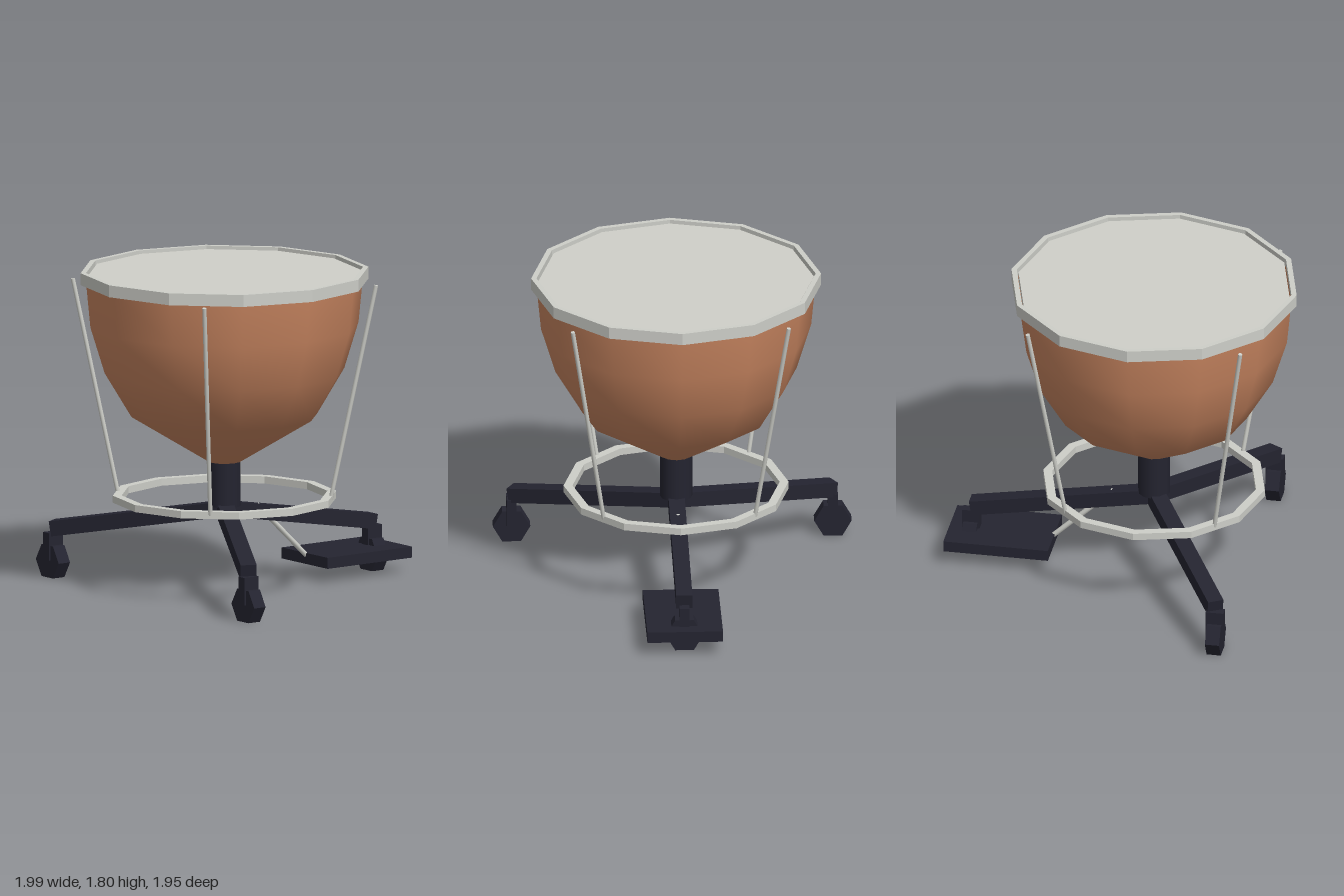
import * as THREE from 'three';
import { toCreasedNormals } from 'three/addons/utils/BufferGeometryUtils.js';

const AXIS_Z = 0.17; // the drum stands a little forward of the centre

function material(name, color, side = THREE.FrontSide) {
  const m = new THREE.MeshStandardMaterial({ color, side });
  m.name = name;
  return m;
}

const faceted = (geometry) => toCreasedNormals(geometry, 0.3);

function add(parent, name, geometry, mat, x = 0, y = 0, z = 0) {
  const mesh = new THREE.Mesh(geometry, mat);
  mesh.name = name;
  mesh.position.set(x, y, z);
  parent.add(mesh);
  return mesh;
}

// Twelve-sided flat band of rectangular section
function band(inner, outer, y0, y1) {
  const profile = [[inner, y0], [outer, y0], [outer, y1], [inner, y1], [inner, y0]];
  return faceted(new THREE.LatheGeometry(profile.map(([r, y]) => new THREE.Vector2(r, y)), 12));
}

// Straight round rod between two points
function rod(parent, name, from, to, radius, mat) {
  const dir = to.clone().sub(from);
  const mesh = add(parent, name, new THREE.CylinderGeometry(radius, radius, dir.length(), 8), mat);
  mesh.position.copy(from).add(to).multiplyScalar(0.5);
  mesh.quaternion.setFromUnitVectors(new THREE.Vector3(0, 1, 0), dir.normalize());
}

export function createModel() {
  const copper = material('copper', 0xc88560, THREE.DoubleSide);
  const metal = material('light metal', 0xcdcec8);
  const skin = material('drum skin', 0xd0d0c9);
  const dark = material('dark metal', 0x242430);

  const model = new THREE.Group();
  model.name = 'kettledrum';
  const drum = new THREE.Group();
  drum.name = 'drum';
  drum.position.z = AXIS_Z;
  model.add(drum);

  // Bowl, head and rim
  const bowl = [[0.09, 0.72], [0.52, 0.98], [0.67, 1.23], [0.75, 1.49], [0.775, 1.75]];
  add(drum, 'bowl', new THREE.LatheGeometry(bowl.map(([r, y]) => new THREE.Vector2(r, y)), 12), copper);
  add(drum, 'head', faceted(new THREE.CylinderGeometry(0.765, 0.765, 0.045, 12)), skin, 0, 1.757, 0);
  add(drum, 'rim', band(0.775, 0.805, 1.73, 1.797), metal);

  // Stem and lower ring
  add(drum, 'stem', new THREE.CylinderGeometry(0.09, 0.09, 0.27, 12), dark, 0, 0.605, 0);
  add(drum, 'lowerRing', band(0.575, 0.625, 0.5, 0.54), metal);

  // Tension rods on the diagonals
  for (const sx of [-1, 1]) {
    for (const sz of [-1, 1]) {
      rod(drum, 'tensionRod', new THREE.Vector3(sx * 0.42, 0.52, sz * 0.42),
        new THREE.Vector3(sx * 0.6, 1.73, sz * 0.6), 0.012, metal);
    }
  }

  // Three sloping legs, each ending in a caster
  const reach = 1.03, topY = 0.455, endY = 0.275;
  const slope = Math.atan2(topY - endY, reach);
  const length = Math.hypot(reach, topY - endY);
  for (const angle of [Math.PI / 6, Math.PI * 5 / 6, -Math.PI / 2]) {
    const c = Math.cos(angle), s = Math.sin(angle);
    const leg = add(drum, 'leg', new THREE.BoxGeometry(length, 0.085, 0.09), dark,
      c * reach / 2, (topY + endY) / 2, s * reach / 2);
    leg.rotation.set(0, -angle, -slope);

    const caster = new THREE.Group();
    caster.name = 'caster';
    caster.position.set(c * reach, 0, s * reach);
    drum.add(caster);
    add(caster, 'fork', new THREE.BoxGeometry(0.055, 0.155, 0.1), dark, 0, 0.175, 0);
    const wheel = new THREE.CylinderGeometry(0.104, 0.104, 0.08, 6);
    wheel.rotateY(Math.PI / 6).rotateX(Math.PI / 2).rotateZ(Math.PI / 3);
    // corners lie on the horizontal so a flat side rests on the floor
    wheel.rotateZ(Math.PI / 3);
    add(caster, 'wheel', faceted(wheel), dark, 0, 0.09, 0);
  }

  // Tuning pedal at the back and its linkage
  add(model, 'pedal', new THREE.BoxGeometry(0.42, 0.062, 0.59), dark, 0, 0.113, -0.685);
  rod(model, 'pedalRod', new THREE.Vector3(0, 0.13, -0.4), new THREE.Vector3(0, 0.45, -0.06), 0.015, metal);

  return model;
}
